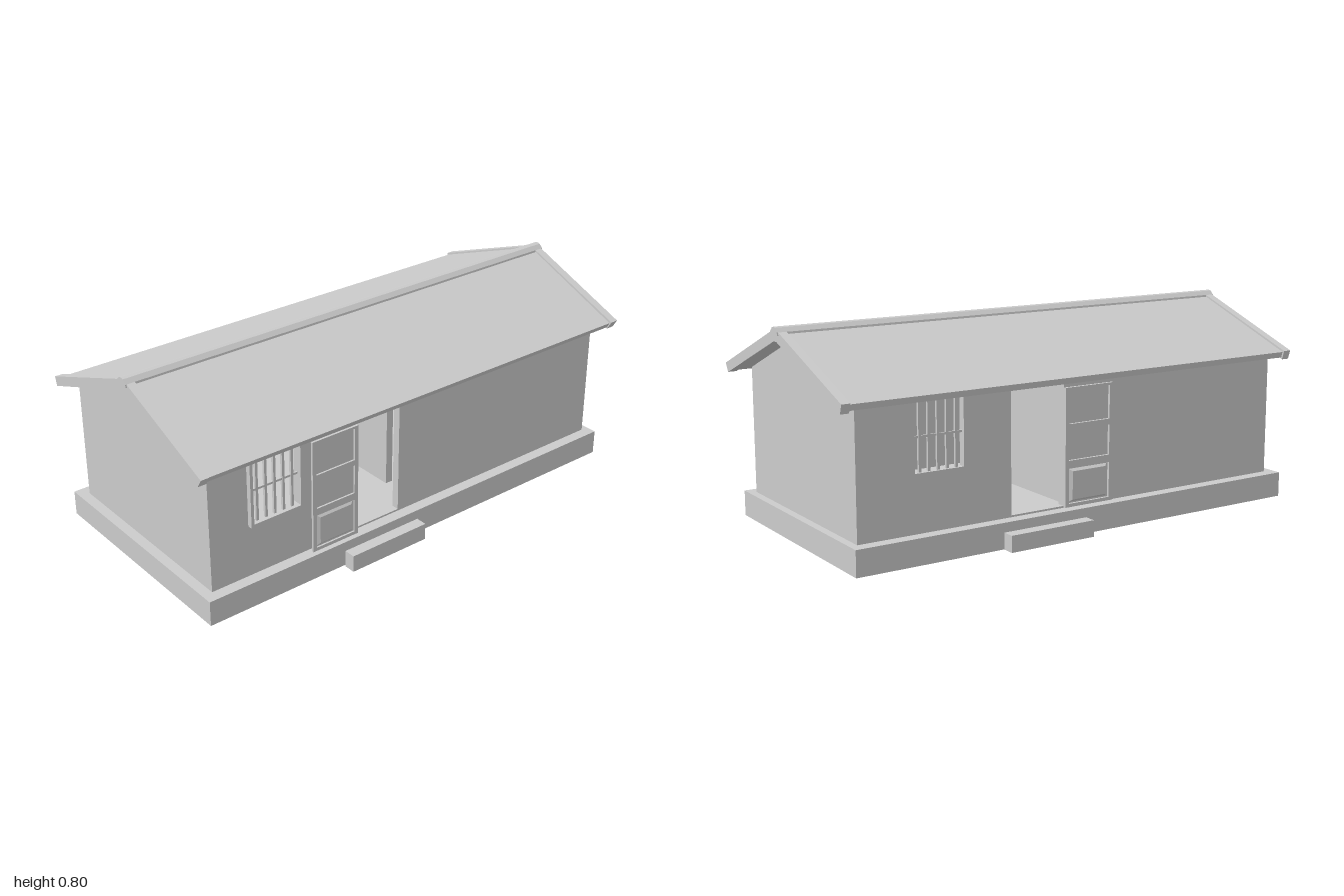
import * as THREE from 'three';

const material = new THREE.MeshStandardMaterial({ color: 0xcccccc, flatShading: true, side: THREE.DoubleSide });

export function createModel() {
  const house = new THREE.Group();
  house.name = 'house';

  const add = (name, geometry, parent = house) => {
    const mesh = new THREE.Mesh(geometry, material);
    mesh.name = name;
    parent.add(mesh);
    return mesh;
  };
  // Box given by its limits on each axis
  const box = (name, x0, x1, y0, y1, z0, z1, parent) =>
    add(name, new THREE.BoxGeometry(x1 - x0, y1 - y0, z1 - z0)
      .translate((x0 + x1) / 2, (y0 + y1) / 2, (z0 + z1) / 2), parent);
  const toShape = pts => new THREE.Shape(pts.map(p => new THREE.Vector2(...p)));
  const rect = (a0, a1, b0, b1) => [[a0, b0], [a1, b0], [a1, b1], [a0, b1]];
  // Profile in x-y, extruded along z
  const alongZ = (name, pts, z0, z1) =>
    add(name, new THREE.ExtrudeGeometry(toShape(pts), { depth: z1 - z0, bevelEnabled: false }).translate(0, 0, z0));
  // Upright panel in z-y with rectangular holes, extruded from x0 to x1
  const sidePanel = (name, outline, holes, x0, x1, parent) => {
    const shape = toShape(outline);
    holes.forEach(h => shape.holes.push(toShape(h)));
    const geometry = new THREE.ExtrudeGeometry(shape, { depth: x1 - x0, bevelEnabled: false });
    return add(name, geometry.rotateY(-Math.PI / 2).translate(x1, 0, 0), parent);
  };

  // Plinth: hollow skin, open underneath
  const plinthGeometry = new THREE.BoxGeometry(0.93, 0.098, 1.92);
  const index = Array.from(plinthGeometry.index.array);
  index.splice(18, 6);
  plinthGeometry.setIndex(index);
  add('plinth', plinthGeometry.translate(0, 0.056, 0.01));

  // Entrance steps
  box('rightStep', 0.465, 0.511, 0, 0.067, 0.03, 0.378);
  box('leftStep', -0.513, -0.465, 0.006, 0.069, -0.36, 0);

  // Side walls with window and door openings
  const wall = rect(-0.92, 0.93, 0.105, 0.587);
  sidePanel('rightWall', wall, [rect(0.55, 0.765, 0.315, 0.577), rect(0.09, 0.31, 0.112, 0.58)], 0.39, 0.42);
  sidePanel('leftWall', wall, [rect(-0.7, -0.49, 0.315, 0.577), rect(-0.3, -0.07, 0.112, 0.58)], -0.418, -0.388);

  // Gable walls and inner partition
  const gable = [[-0.418, 0.105], [0.42, 0.105], [0.42, 0.592], [0.03, 0.752], [-0.418, 0.59]];
  alongZ('frontGable', gable, 0.9, 0.93);
  alongZ('backGable', gable, -0.92, -0.89);
  alongZ('partition', [[-0.388, 0.105], [0.24, 0.105], [0.24, 0.665], [0.03, 0.75], [-0.388, 0.6]], -0.035, -0.005);

  // Barred windows
  function barredWindow(name, x0, x1, z0, z1) {
    const group = new THREE.Group();
    group.name = name;
    house.add(group);
    sidePanel('windowFrame', rect(z0, z1, 0.308, 0.584),
      [rect(z0 + 0.012, z1 - 0.012, 0.32, 0.574)], x0, x1, group);
    const mid = (x0 + x1) / 2;
    for (let i = 1; i <= 5; i++) {
      const z = z0 + (z1 - z0) * i / 6;
      box('windowBar', mid - 0.005, mid + 0.005, 0.315, 0.58, z - 0.005, z + 0.005, group);
    }
    box('windowCrossbar', mid - 0.003, mid + 0.003, 0.441, 0.449, z0, z1, group);
  }
  barredWindow('rightWindow', 0.4, 0.44, 0.545, 0.77);
  barredWindow('leftWindow', -0.418, -0.39, -0.705, -0.485);

  // Panelled sliding doors; side is +1 on the right and -1 on the left
  function slidingDoor(name, side, inner, outer, z0, z1) {
    const group = new THREE.Group();
    group.name = name;
    house.add(group);
    const lo = Math.min(inner, outer) * 1, hi = Math.max(inner, outer);
    const a = z0 + 0.016, b = z1 - 0.016;
    sidePanel('doorFrame', rect(z0, z1, 0.107, 0.556),
      [rect(a, b, 0.42, 0.547), rect(a, b, 0.283, 0.398), rect(a, b, 0.12, 0.255)], lo, hi, group);
    const back = inner + side * 0.002;
    box('doorPanel', Math.min(inner, back), Math.max(inner, back), 0.11, 0.55, z0 + 0.003, z1 - 0.003, group);
    // Raised bottom field with sloping edges
    const field = new THREE.CylinderGeometry(0.86 * Math.SQRT1_2, Math.SQRT1_2, 1, 4, 1)
      .rotateY(Math.PI / 4).rotateZ(-side * Math.PI / 2)
      .scale(Math.abs(outer - back), 0.125, b - a - 0.01)
      .translate((outer + back) / 2, 0.1875, (a + b) / 2);
    add('raisedField', field, group);
  }
  slidingDoor('rightDoor', 1, 0.438, 0.447, 0.305, 0.51);
  slidingDoor('leftDoor', -1, -0.418, -0.43, -0.07, 0.145);

  // Roof slab, verge boards at both ends and ridge cap
  alongZ('roof', [[-0.467, 0.6], [0, 0.774], [0.055, 0.774], [0.48, 0.6], [0.468, 0.578],
    [0.045, 0.748], [0.015, 0.748], [-0.46, 0.577]], -0.985, 0.985);
  const verge = [[-0.476, 0.605], [0, 0.781], [0.055, 0.781], [0.49, 0.606], [0.47, 0.573],
    [0.04, 0.745], [0.018, 0.745], [-0.465, 0.57]];
  alongZ('frontVerge', verge, 0.962, 0.995);
  alongZ('backVerge', verge, -0.995, -0.962);
  alongZ('ridgeCap', [[-0.002, 0.77], [0, 0.781], [0.015, 0.796], [0.027, 0.799], [0.04, 0.796],
    [0.055, 0.781], [0.057, 0.77]], -1, 1);

  return house;
}
